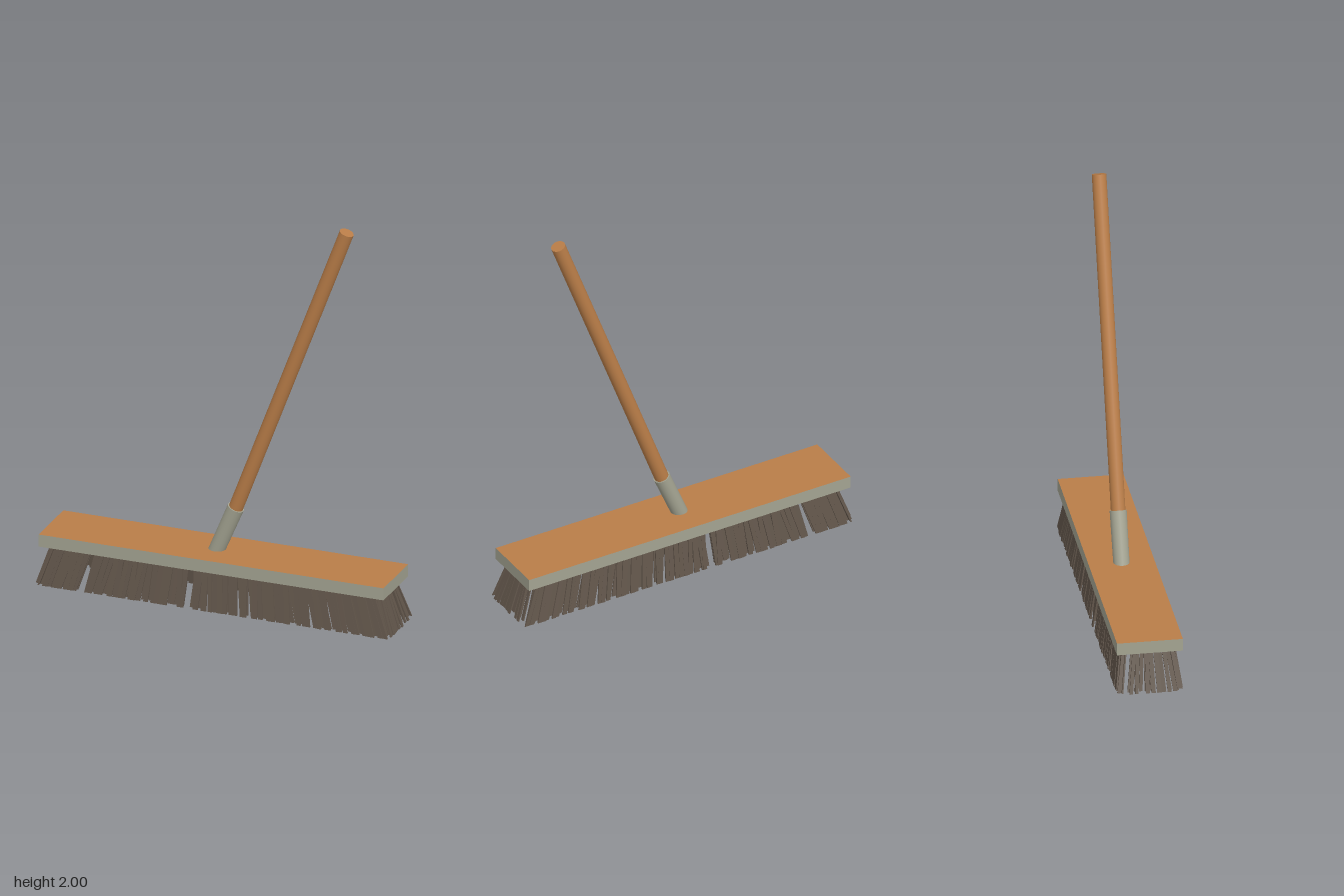
import * as THREE from 'three';
import { mergeGeometries } from 'three/addons/utils/BufferGeometryUtils.js';

const mat = (name, color) => Object.assign(new THREE.MeshStandardMaterial({ color }), { name });

function seeded(seed) {
  let s = seed;
  return () => (s = (s * 16807) % 2147483647) / 2147483647;
}

// Tapering slat from a root under the head to a tip on the floor
function slat(root, tip, along, width, thick) {
  const g = new THREE.BoxGeometry(1, 1, 1);
  const p = g.attributes.position;
  for (let i = 0; i < p.count; i++) {
    const top = p.getY(i) > 0;
    const c = top ? root : tip;
    const w = along === 'x' ? width : thick;
    const d = along === 'x' ? thick : width;
    p.setXYZ(i, c[0] + p.getX(i) * w, top ? 0.205 : 0, c[1] + p.getZ(i) * d);
  }
  g.computeVertexNormals();
  return g;
}

export function createModel() {
  const wood = mat('wood', 0xb97d48);
  const metal = mat('grey green', 0xa3a391);
  const fibre = mat('bristle brown', 0x62564b);
  const model = new THREE.Group();
  const add = (name, geometry, material) => {
    const mesh = new THREE.Mesh(geometry, material);
    mesh.name = name;
    model.add(mesh);
    return mesh;
  };

  // Head: grey block with a wooden top face
  const head = add('head', new THREE.BoxGeometry(1.76, 0.062, 0.316),
    [metal, metal, wood, metal, metal, metal]);
  head.position.y = 0.229;

  // Round rod between two points in the x-y plane
  const rod = (name, a, b, r0, r1, material) => {
    const from = new THREE.Vector3(...a), to = new THREE.Vector3(...b);
    const dir = to.clone().sub(from);
    const mesh = add(name, new THREE.CylinderGeometry(r1, r0, dir.length(), 20), material);
    mesh.position.copy(from).add(to).multiplyScalar(0.5);
    mesh.quaternion.setFromUnitVectors(new THREE.Vector3(0, 1, 0), dir.normalize());
  };
  rod('socket', [-0.042, 0.235, 0], [0.064, 0.487, 0], 0.039, 0.041, metal);
  rod('handle', [0.045, 0.435, 0], [0.63, 1.988, 0], 0.035, 0.035, wood);

  // Bristles: two layers along each side, splayed outwards, mirrored across
  const rand = seeded(4711);
  const jitter = (a) => (rand() - 0.5) * 2 * a;
  const long = [], short = [];
  for (const inset of [0, 0.022]) {
    const n = 66;
    for (let i = 0; i < n; i++) {
      if (rand() < 0.1) continue;
      const t = (i + 0.5) / n * 2 - 1;
      const x0 = t * 0.825 + jitter(0.006);
      const x1 = THREE.MathUtils.clamp(t * 0.895 + jitter(0.014), -0.9, 0.9);
      const w = 0.02 + rand() * 0.009;
      for (const s of [1, -1]) {
        long.push(slat([x0, s * (0.128 - inset)],
          [x1, s * (0.16 - inset - rand() * 0.006)], 'x', w, 0.007));
      }
    }
    const m = 12;
    for (let i = 0; i < m; i++) {
      if (rand() < 0.12) continue;
      const t = (i + 0.5) / m * 2 - 1;
      const z0 = t * 0.12 + jitter(0.003);
      const z1 = THREE.MathUtils.clamp(t * 0.163 + jitter(0.006), -0.155, 0.155);
      const w = 0.016 + rand() * 0.007;
      for (const s of [1, -1]) {
        short.push(slat([s * (0.835 - inset), z0],
          [s * (0.908 - inset - rand() * 0.008), z1], 'z', w, 0.007));
      }
    }
  }
  add('longSideBristles', mergeGeometries(long), fibre);
  add('endBristles', mergeGeometries(short), fibre);
  return model;
}
